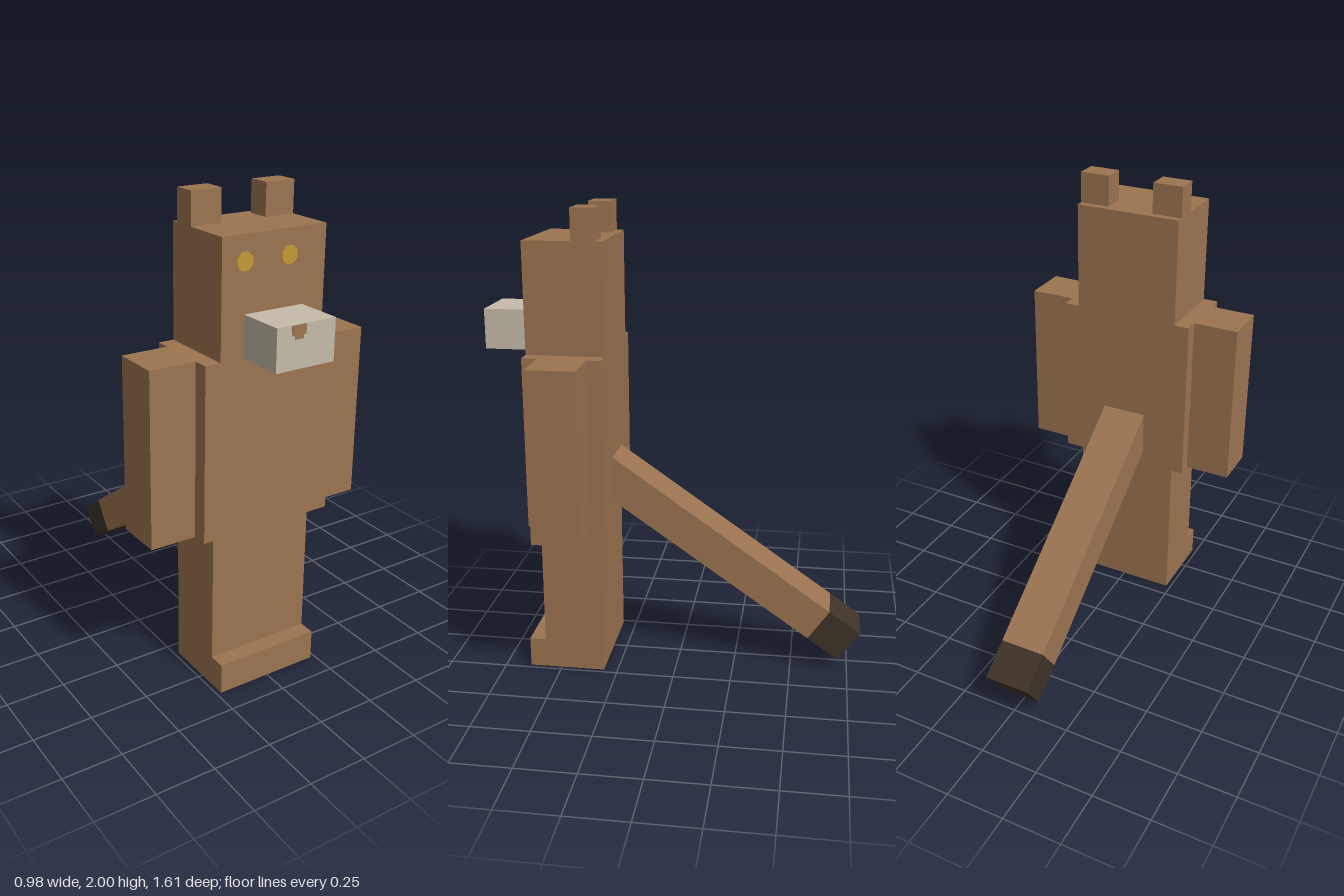
import * as THREE from 'three';

const mat = (name, color) => {
  const m = new THREE.MeshStandardMaterial({ color });
  m.name = name;
  return m;
};

export function createModel() {
  const fur = mat('brown fur', 0x9c7451);
  const pale = mat('pale muzzle', 0xc5bcaa);
  const dark = mat('dark tail tip', 0x3d3227);
  const gold = mat('gold eyes', 0xc59a36);

  const model = new THREE.Group();
  model.name = 'blockAnimal';

  // Box given by its extents on each axis
  const box = (name, material, [x0, x1], [y0, y1], [z0, z1], parent = model) => {
    const mesh = new THREE.Mesh(new THREE.BoxGeometry(x1 - x0, y1 - y0, z1 - z0), material);
    mesh.position.set((x0 + x1) / 2, (y0 + y1) / 2, (z0 + z1) / 2);
    mesh.name = name;
    parent.add(mesh);
    return mesh;
  };

  // Legs and feet
  box('legs', fur, [-0.23, 0.23], [0, 0.69], [0.31, 0.57]);
  box('feet', fur, [-0.23, 0.23], [0, 0.13], [0.57, 0.64]);

  // Torso, head and muzzle
  box('torso', fur, [-0.295, 0.295], [0.69, 1.41], [0.28, 0.605]);
  box('head', fur, [-0.23, 0.23], [1.41, 1.87], [0.28, 0.605]);
  box('muzzle', pale, [-0.13, 0.13], [1.41, 1.577], [0.605, 0.803]);

  // Arms and ears
  for (const [side, s] of [['left', 1], ['right', -1]]) {
    const span = (a, b) => [Math.min(s * a, s * b), Math.max(s * a, s * b)];
    box(`${side}Arm`, fur, span(0.295, 0.49), [0.69, 1.41], [0.34, 0.54]);
    box(`${side}Ear`, fur, span(0.1, 0.23), [1.87, 2], [0.31, 0.405]);
  }

  // Eyes: thin octagonal plates
  for (const [name, x] of [['leftEye', 0.065], ['rightEye', -0.132]]) {
    const geo = new THREE.CylinderGeometry(0.037, 0.037, 0.004, 8);
    geo.rotateY(Math.PI / 8).rotateX(Math.PI / 2);
    const eye = new THREE.Mesh(geo, gold);
    eye.position.set(x, 1.772, 0.606);
    eye.name = name;
    model.add(eye);
  }

  // Nose: stepped plate on the muzzle front
  box('noseTop', fur, [-0.066, -0.002], [1.538, 1.576], [0.802, 0.805]);
  box('noseBottom', fur, [-0.052, -0.014], [1.523, 1.538], [0.802, 0.805]);

  // Tail: origin at the tip, local +z runs up into the back
  const tail = new THREE.Group();
  tail.name = 'tail';
  tail.position.set(0, 0.12, -0.755);
  tail.rotation.x = -0.611;
  box('tailTip', dark, [-0.098, 0.098], [-0.08, 0.08], [0, 0.165], tail);
  box('tailShaft', fur, [-0.098, 0.098], [-0.08, 0.08], [0.165, 1.4], tail);
  model.add(tail);

  return model;
}
